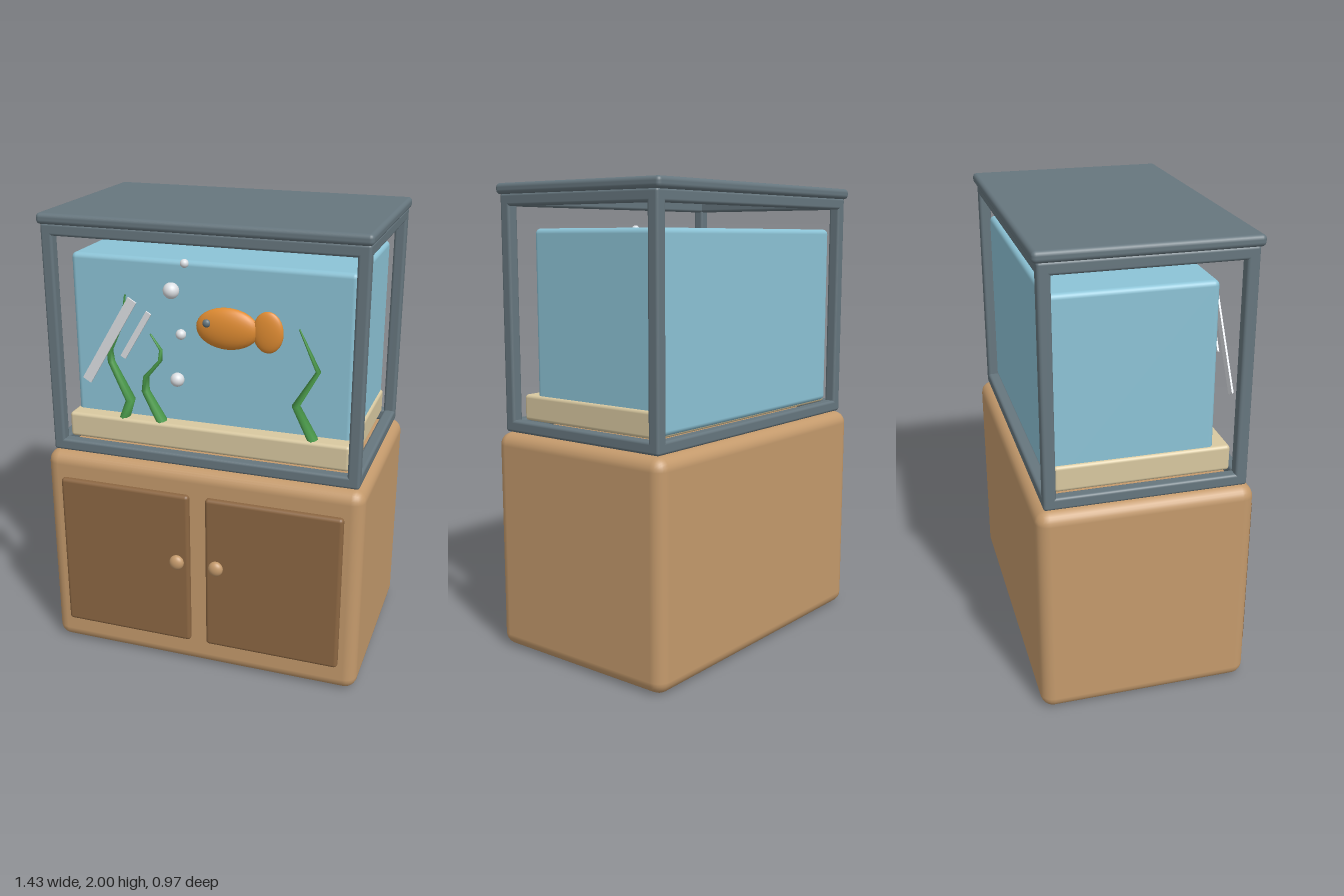
import * as THREE from 'three';
import { RoundedBoxGeometry } from 'three/addons/geometries/RoundedBoxGeometry.js';

function material(name, color) {
  const m = new THREE.MeshStandardMaterial({ color });
  m.name = name;
  return m;
}

export function createModel() {
  const wood = material('light wood', 0xc49a6c);
  const darkWood = material('dark wood', 0x8b6642);
  const metal = material('slate frame', 0x66767e);
  const waterBlue = material('water blue', 0x8cc3d6);
  const sandy = material('sand', 0xd8c8a0);
  const orange = material('fish orange', 0xe08c32);
  const green = material('weed green', 0x4a9a4a);
  const pale = material('pale grey', 0xdde0e4);

  const model = new THREE.Group();
  model.name = 'aquarium';

  function add(name, geometry, mat, x, y, z, parent = model) {
    const mesh = new THREE.Mesh(geometry, mat);
    mesh.name = name;
    mesh.position.set(x, y, z);
    parent.add(mesh);
    return mesh;
  }

  // Rounded box given by its extents on each axis
  function box(name, mat, [x0, x1], [y0, y1], [z0, z1], radius, parent) {
    const g = new RoundedBoxGeometry(x1 - x0, y1 - y0, z1 - z0, 3, radius);
    return add(name, g, mat, (x0 + x1) / 2, (y0 + y1) / 2, (z0 + z1) / 2, parent);
  }

  function ellipsoid(name, mat, [rx, ry, rz], x, y, z, parent) {
    return add(name, new THREE.SphereGeometry(1, 24, 16).scale(rx, ry, rz), mat, x, y, z, parent);
  }

  // Cabinet with two doors and knobs
  box('cabinet', wood, [-0.715, 0.715], [0, 0.955], [-0.485, 0.43], 0.055);
  for (const s of [-1, 1]) {
    const side = s > 0 ? 'left' : 'right';
    const inner = s * 0.037, outer = s * 0.637;
    box(side + 'Door', darkWood, [Math.min(inner, outer), Math.max(inner, outer)],
      [0.123, 0.843], [0.41, 0.453], 0.016);
    ellipsoid(side + 'Knob', wood, [0.033, 0.034, 0.023], s * 0.09, 0.523, 0.462);
  }

  // Tank frame: four posts, top and bottom rails
  const frame = new THREE.Group();
  frame.name = 'tankFrame';
  model.add(frame);
  const X = 0.685, T = 0.052, ZB = -0.45, ZF = 0.397, Y0 = 0.958, Y1 = 1.958;
  const xBars = [[-X, -X + T], [X - T, X]];
  const zBars = [[ZB, ZB + T], [ZF - T, ZF]];
  const yBars = [[Y0, Y0 + T], [Y1 - T, Y1]];
  for (const x of xBars) for (const z of zBars) box('post', metal, x, [Y0, Y1], z, 0.012, frame);
  for (const y of yBars) {
    for (const z of zBars) box('longRail', metal, [-X, X], y, z, 0.012, frame);
    for (const x of xBars) box('sideRail', metal, x, y, [ZB, ZF], 0.012, frame);
  }
  box('lid', metal, [-0.695, 0.695], [1.954, 2], [-0.467, 0.415], 0.018);

  // Water and sand
  box('water', waterBlue, [-0.617, 0.617], [1.015, 1.815], [-0.41, 0.27], 0.022);
  box('sand', sandy, [-0.63, 0.627], [1.005, 1.117], [-0.395, 0.34], 0.015);

  // Fish facing the right-hand side
  const fish = new THREE.Group();
  fish.name = 'fish';
  fish.position.set(0.093, 1.557, 0.307);
  model.add(fish);
  ellipsoid('fishBody', orange, [0.135, 0.088, 0.04], 0, 0, 0, fish);
  ellipsoid('fishTail', orange, [0.065, 0.087, 0.022], 0.173, 0, 0, fish);
  ellipsoid('fishEye', metal, [0.017, 0.017, 0.013], -0.079, 0.025, 0.032, fish);

  // Water weeds: tapering flattened cones that follow a zigzag path
  function weed(path, z) {
    const sides = 8, positions = [], index = [];
    path.forEach(([x, y], i) => {
      const t = (y - path[0][1]) / (path[path.length - 1][1] - path[0][1]);
      const r = 1 - 0.85 * t;
      for (let j = 0; j < sides; j++) {
        const a = (j / sides) * Math.PI * 2;
        positions.push(x + Math.cos(a) * 0.024 * r, y, z + Math.sin(a) * 0.035 * r);
        if (i === 0) continue;
        const k = (j + 1) % sides, b = i * sides, p = b - sides;
        index.push(p + j, b + j, p + k, b + j, b + k, p + k);
      }
    });
    // Close the tip
    const top = (path.length - 1) * sides;
    for (let j = 1; j < sides - 1; j++) index.push(top, top + j + 1, top + j);
    const g = new THREE.BufferGeometry();
    g.setAttribute('position', new THREE.Float32BufferAttribute(positions, 3));
    g.setIndex(index);
    g.computeVertexNormals();
    add('waterWeed', g, green, 0, 0, 0);
  }
  weed([[-0.385, 1.1], [-0.352, 1.195], [-0.435, 1.36], [-0.44, 1.41], [-0.375, 1.545], [-0.36, 1.66]], 0.3);
  weed([[-0.2, 1.1], [-0.28, 1.245], [-0.275, 1.31], [-0.21, 1.385], [-0.205, 1.435], [-0.25, 1.5]], 0.3);
  weed([[0.47, 1.1], [0.387, 1.255], [0.477, 1.41], [0.395, 1.58]], 0.3);

  // Rising bubbles
  for (const [x, y, r] of [[-0.125, 1.318, 0.03], [-0.105, 1.518, 0.022], [-0.145, 1.7, 0.034], [-0.085, 1.817, 0.018]]) {
    ellipsoid('bubble', pale, [r, r, r], x, y, 0.32);
  }

  // Slanted shine strips at the front pane
  for (const [x, y, length, width] of [[-0.405, 1.478, 0.43, 0.042], [-0.283, 1.514, 0.235, 0.025]]) {
    add('glassShine', new THREE.BoxGeometry(length, width, 0.008), pale, x, y, 0.377).rotation.z = 1.03;
  }
  return model;
}
